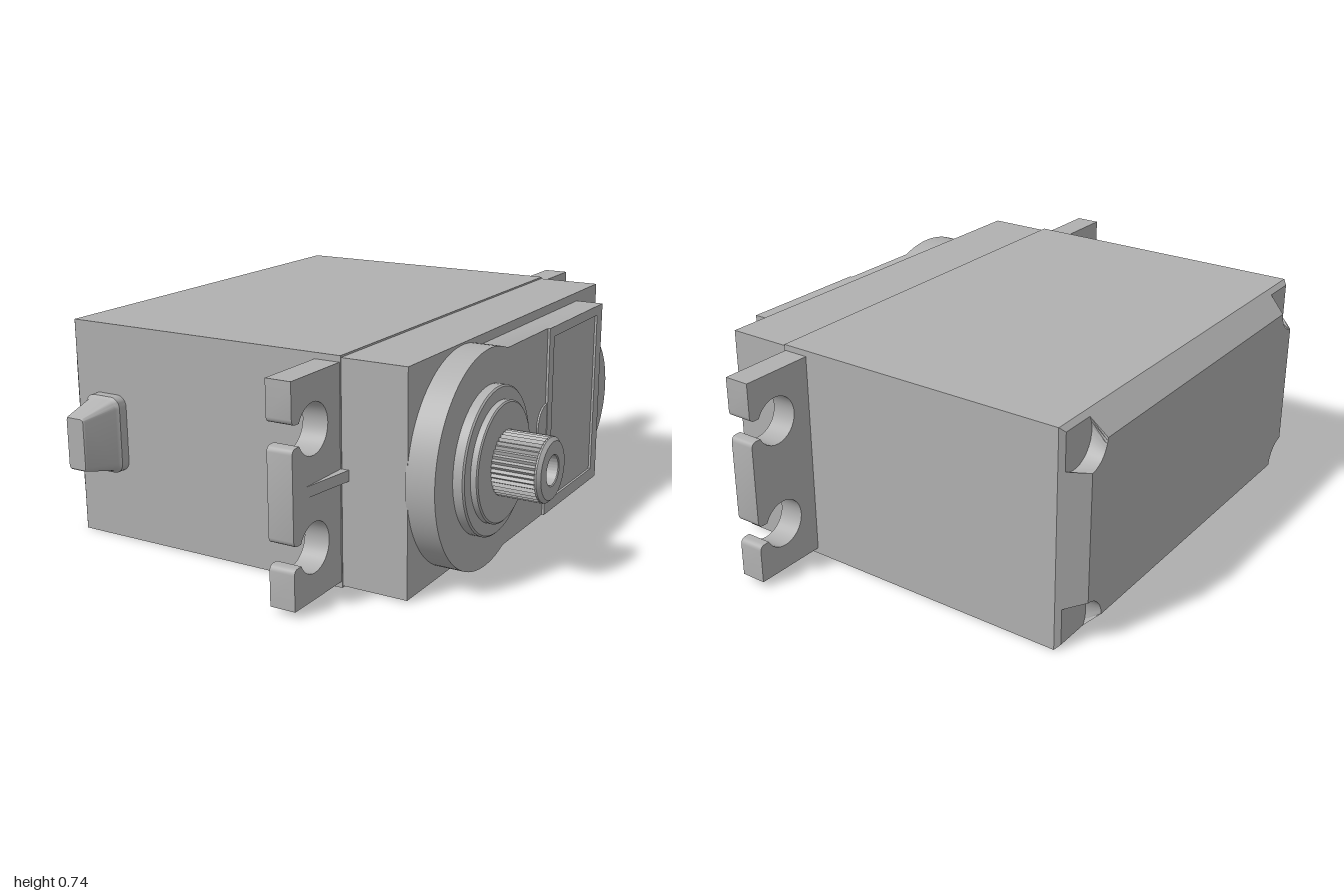
import * as THREE from 'three';
import { toCreasedNormals } from 'three/addons/utils/BufferGeometryUtils.js';

const CY = 0.3675;      // mid height of the case
const SHAFT_Z = 0.39;   // output shaft position

export function createModel() {
  const group = new THREE.Group();
  const grey = new THREE.MeshStandardMaterial({ color: 0xb0b0b0 });
  grey.name = 'grey plastic';

  function add(name, geometry) {
    const mesh = new THREE.Mesh(toCreasedNormals(geometry, 0.6), grey);
    mesh.name = name;
    group.add(mesh);
    return mesh;
  }
  function box(name, x0, x1, y0, y1, z0, z1) {
    const g = new THREE.BoxGeometry(x1 - x0, y1 - y0, z1 - z0);
    return add(name, g.translate((x0 + x1) / 2, (y0 + y1) / 2, (z0 + z1) / 2));
  }
  // Extrudes an outline drawn in (-z, y) along x
  function slab(name, shape, x0, x1) {
    const g = new THREE.ExtrudeGeometry(shape, { depth: x1 - x0, bevelEnabled: false, curveSegments: 32 });
    return add(name, g.rotateY(Math.PI / 2).translate(x0, 0, 0));
  }
  function rect(shape, u0, u1, v0, v1) {
    return shape.moveTo(u0, v0).lineTo(u1, v0).lineTo(u1, v1).lineTo(u0, v1).closePath();
  }
  // Turned part around the x axis; profile is [radius, x]
  function turned(name, profile, z) {
    const g = new THREE.LatheGeometry(profile.map(p => new THREE.Vector2(...p)), 64);
    return add(name, g.rotateZ(-Math.PI / 2).translate(0, CY, z));
  }
  // Skin over counter-clockwise sections [{ w, pts: [[u, v]...] }], capped at the end
  function loft(sections) {
    const pos = [], idx = [], n = sections[0].pts.length;
    sections.forEach(s => s.pts.forEach(p => pos.push(p[0], p[1], s.w)));
    for (let i = 0; i < sections.length - 1; i++) {
      for (let j = 0; j < n; j++) {
        const k = (j + 1) % n, a = i * n + j, b = i * n + k;
        idx.push(a, b, b + n, a, b + n, a + n);
      }
    }
    const last = (sections.length - 1) * n;
    pos.push(0, 0, sections[sections.length - 1].w);
    for (let j = 0; j < n; j++) idx.push(sections.length * n, last + j, last + (j + 1) % n);
    const g = new THREE.BufferGeometry();
    g.setAttribute('position', new THREE.Float32BufferAttribute(pos, 3));
    g.setIndex(idx);
    return g;
  }
  // Mirrors one corner's points into all four quadrants
  function fourCorners(corner) {
    const out = [];
    for (const [su, sv] of [[1, 1], [-1, 1], [-1, -1], [1, -1]]) {
      const pts = corner.map(([u, v]) => [u * su, v * sv]);
      out.push(...(su * sv > 0 ? pts : pts.reverse()));
    }
    return out;
  }

  // Case
  box('mainCase', -0.75, 0.28, 0, 0.735, -0.7425, 0.7425);
  box('upperCase', 0.28, 0.505, 0.006, 0.729, -0.739, 0.739);

  // Chamfered bottom cover with a screw pocket in each corner
  const plain = (hu, hv) => fourCorners([[hu, hv]]);
  const pocketed = (hu, hv) => {
    const cu = 0.68, cv = 0.305, r = 0.09, corner = [];
    const a0 = 2 * Math.PI - Math.acos((hu - cu) / r);
    const a1 = Math.PI - Math.asin((hv - cv) / r);
    for (let i = 0; i <= 12; i++) {
      const a = a0 + (a1 - a0) * i / 12;
      corner.push([cu + r * Math.cos(a), cv + r * Math.sin(a)]);
    }
    return fourCorners(corner);
  };
  const coverParts = {
    coverRim: [{ w: 0.75, pts: plain(0.7425, 0.3675) }, { w: 0.765, pts: plain(0.727, 0.352) }],
    bottomCover: [{ w: 0.765, pts: pocketed(0.727, 0.352) }, { w: 0.82, pts: pocketed(0.67, 0.296) }],
  };
  for (const [name, sections] of Object.entries(coverParts)) {
    add(name, loft(sections).rotateY(-Math.PI / 2).translate(0, CY, 0));
  }

  // Mounting ears with two open keyhole slots and a tapered rib
  for (const s of [1, -1]) {
    const ear = new THREE.Shape();
    const P = (z, y) => ear.lineTo(-s * z, y);
    ear.moveTo(-s * 0.73, 0.02);
    P(1, 0.02);
    for (const cy of [0.185, 0.55]) {
      const r = 0.08, h = 0.034, f = 0.018, cz = 0.89, gap = Math.asin(h / r);
      for (let i = 0; i <= 4; i++) {
        const a = i / 4 * Math.PI / 2;
        P(1 - f + f * Math.cos(a), cy - h - f + f * Math.sin(a));
      }
      for (let i = 0; i <= 28; i++) {
        const a = -gap - (2 * Math.PI - 2 * gap) * i / 28;
        P(cz + r * Math.cos(a), cy + r * Math.sin(a));
      }
      for (let i = 0; i <= 4; i++) {
        const a = (1 - i / 4) * Math.PI / 2;
        P(1 - f + f * Math.cos(a), cy + h + f - f * Math.sin(a));
      }
    }
    P(1, 0.715);
    P(0.73, 0.715);
    slab(s > 0 ? 'frontEar' : 'backEar', ear, 0.19, 0.277);

    const rib = new THREE.Shape();
    rib.moveTo(0.27, -s * 0.73).lineTo(0.306, -s * 0.73).lineTo(0.277, -s * 0.93).lineTo(0.27, -s * 0.93);
    const g = new THREE.ExtrudeGeometry(rib, { depth: 0.035, bevelEnabled: false });
    add(s > 0 ? 'frontRib' : 'backRib', g.rotateX(-Math.PI / 2).translate(0, CY - 0.0175, 0));
  }

  // Gear housing: round end around the shaft running into a straight block
  const R = 0.355, H = 0.33, turn = Math.asin(H / R);
  const housing = new THREE.Shape();
  housing.moveTo(0.545, CY - H).lineTo(0.545, CY + H);
  housing.absarc(-SHAFT_Z, CY, R, turn, 2 * Math.PI - turn, false);
  slab('gearHousing', housing, 0.5, 0.597);
  turned('backBump', [[0.228, 0.5], [0.228, 0.596], [0, 0.596]], -0.41);

  // Cover plate with a framed shallow panel and a half-round tab
  const frame = rect(new THREE.Shape(), 0.06, 0.545, CY - H, CY + H);
  frame.holes.push(rect(new THREE.Path(), 0.1, 0.495, 0.08, 0.663));
  slab('panelFrame', frame, 0.59, 0.605);
  const tab = new THREE.Shape();
  tab.absarc(0.06, CY, 0.07, Math.PI / 2, Math.PI * 1.5, false);
  slab('panelTab', tab, 0.59, 0.603);

  // Stepped bearing boss
  turned('bearingBoss', [
    [0.24, 0.59], [0.24, 0.628], [0.235, 0.633], [0.195, 0.633],
    [0.195, 0.652], [0.19, 0.656], [0, 0.656],
  ], SHAFT_Z);

  // Splined output shaft with a hollow chamfered tip
  const spline = new THREE.Shape(), teeth = 40;
  for (let i = 0; i < teeth * 2; i++) {
    const a = i / (teeth * 2) * Math.PI * 2, r = i % 2 ? 0.097 : 0.105;
    spline[i ? 'lineTo' : 'moveTo'](-SHAFT_Z + r * Math.cos(a), CY + r * Math.sin(a));
  }
  slab('outputSpline', spline, 0.65, 0.8);
  const core = group.getObjectByName('outputSpline');
  const bore = new THREE.Path();
  bore.absarc(-SHAFT_Z, CY, 0.048, 0, Math.PI * 2, true);
  spline.holes.push(bore);
  core.scale.x = 1;
  group.remove(core);
  slab('outputSpline', spline, 0.65, 0.8);
  turned('shaftTip', [
    [0.103, 0.798], [0.103, 0.804], [0.092, 0.815], [0.05, 0.815], [0.047, 0.812], [0.047, 0.7], [0, 0.7],
  ], SHAFT_Z);

  // Cable strain relief: rounded block tapering forward
  const rounded = (hu, hv, r) => {
    const corner = [];
    for (let i = 0; i <= 6; i++) {
      const a = i / 6 * Math.PI / 2;
      corner.push([hu - r + r * Math.cos(a), hv - r + r * Math.sin(a)]);
    }
    return fourCorners(corner);
  };
  const relief = loft([
    { w: 0.735, pts: rounded(0.071, 0.13, 0.035) },
    { w: 0.775, pts: rounded(0.071, 0.13, 0.035) },
    { w: 0.785, pts: rounded(0.062, 0.121, 0.03) },
    { w: 0.905, pts: rounded(0.038, 0.09, 0.012) },
    { w: 0.91, pts: rounded(0.034, 0.086, 0.01) },
  ]);
  add('cableStrainRelief', relief.translate(-0.62, CY, 0));

  return group;
}
